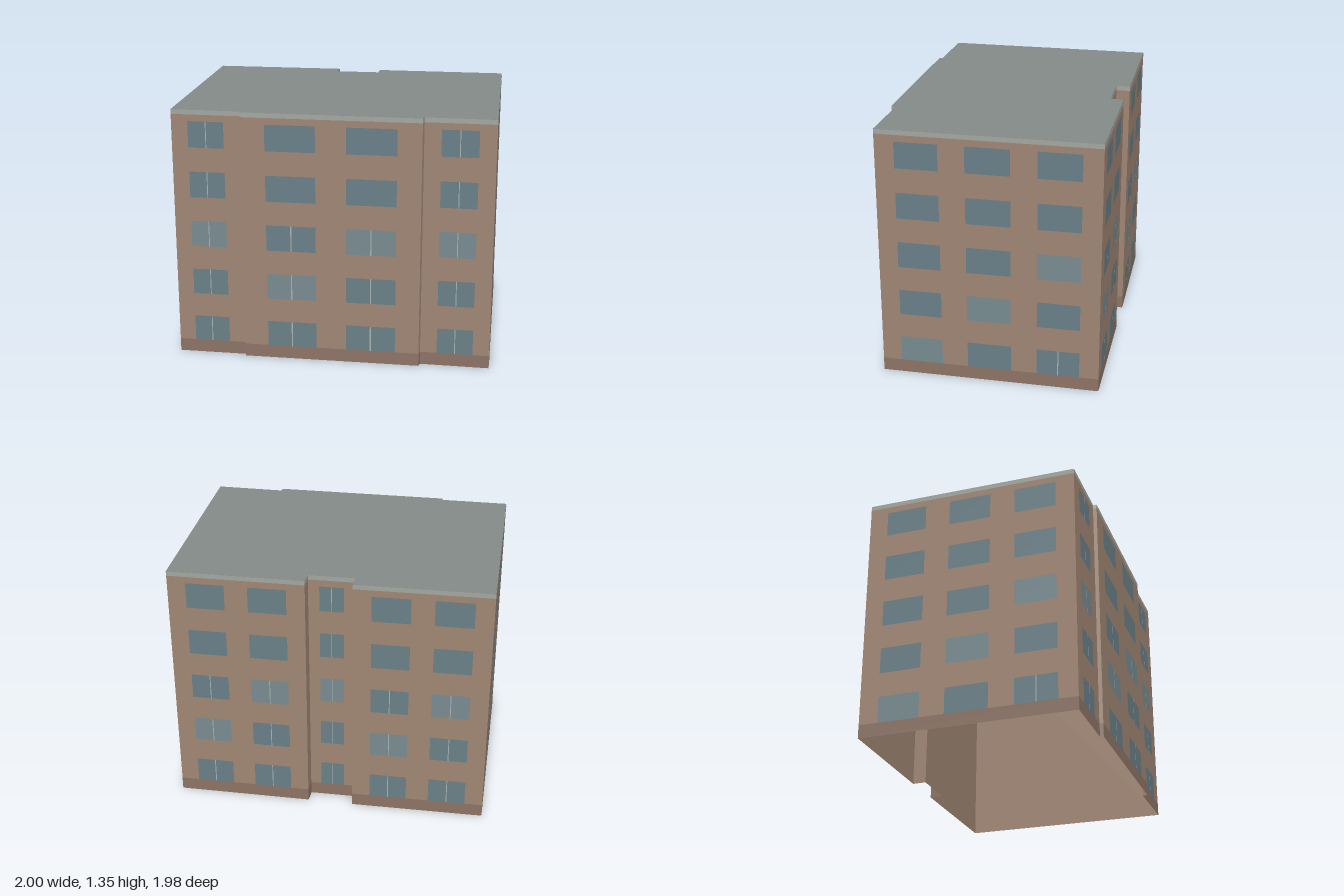
import * as THREE from 'three';
import { mergeGeometries } from 'three/addons/utils/BufferGeometryUtils.js';

// Footprint corners [x, z], clockwise seen from above
const PLAN = [
  [-0.215, -0.99], [0.305, -0.507], [0.253, -0.455], [0.43, -0.29], [0.48, -0.338], [1, 0.153],
  [0.215, 0.99], [-0.047, 0.735], [-0.07, 0.75], [-0.748, 0.107], [-0.738, 0.09], [-1, -0.16],
];
const HEIGHT = 1.35, BASE_TOP = 0.07, TRIM_BOTTOM = 1.325;
const STOREY = 0.27, WINDOW_HEIGHT = 0.14, STOREYS = 5;

// Window spans along a wall, as fractions of its length
const ONE = [[0.24, 0.76]];
const TWO = [[0.135, 0.415], [0.585, 0.865]];
const THREE_WIDE = [[0.088, 0.282], [0.4, 0.6], [0.718, 0.912]];
const WALL_WINDOWS = { 0: TWO, 2: ONE, 4: TWO, 5: THREE_WIDE, 6: ONE, 8: TWO, 10: ONE, 11: THREE_WIDE };

// Upright panel on wall i between fractions t0..t1 and heights y0..y1
function panel(i, t0, t1, y0, y1, offset) {
  const [ax, az] = PLAN[i], [bx, bz] = PLAN[(i + 1) % PLAN.length];
  const dx = bx - ax, dz = bz - az, length = Math.hypot(dx, dz), t = (t0 + t1) / 2;
  const nx = dz / length, nz = -dx / length;
  const g = new THREE.PlaneGeometry(length * (t1 - t0), y1 - y0);
  g.rotateY(Math.atan2(nx, nz));
  return g.translate(ax + dx * t + nx * offset, (y0 + y1) / 2, az + dz * t + nz * offset);
}

// Ring of panels following the whole footprint
const band = (y0, y1, offset) => mergeGeometries(PLAN.map((_, i) => panel(i, 0, 1, y0, y1, offset)));

export function createModel() {
  const group = new THREE.Group();
  const add = (name, geometry, color, side = THREE.FrontSide) => {
    const mesh = new THREE.Mesh(geometry, new THREE.MeshStandardMaterial({ color, side }));
    mesh.name = name;
    group.add(mesh);
  };

  // Open-bottomed shell: plain walls and a flat roof
  add('walls', band(0, HEIGHT, 0), 0xa08674, THREE.DoubleSide);
  const outline = new THREE.Shape(PLAN.map(([x, z]) => new THREE.Vector2(x, -z)));
  const roof = new THREE.ShapeGeometry(outline).rotateX(-Math.PI / 2).translate(0, HEIGHT, 0);
  add('roof', roof, 0x838b88, THREE.DoubleSide);

  // Coloured strips on the outside of the walls
  add('plinth', band(0, BASE_TOP, 0.001), 0x8e7466);
  add('roofTrim', band(TRIM_BOTTOM, HEIGHT, 0.001), 0xa3a7a1);

  // Windows: a diagonal of paler panes, and mullions on the lower storeys
  const glass = [], paleGlass = [], mullions = [];
  for (const [key, spans] of Object.entries(WALL_WINDOWS)) {
    const wall = Number(key);
    for (let row = 0; row < STOREYS; row++) {
      const y0 = BASE_TOP + row * STOREY, y1 = y0 + WINDOW_HEIGHT;
      spans.forEach(([t0, t1], k) => {
        (row + k === 2 ? paleGlass : glass).push(panel(wall, t0, t1, y0, y1, 0.001));
        const split = spans === ONE || (spans === TWO && row < 3) || (spans === THREE_WIDE && row + k === 0);
        if (split) {
          const mid = (t0 + t1) / 2, half = (t1 - t0) * 0.012;
          mullions.push(panel(wall, mid - half, mid + half, y0, y1, 0.002));
        }
      });
    }
  }
  add('windows', mergeGeometries(glass), 0x6a8088);
  add('paleWindows', mergeGeometries(paleGlass), 0x788b90);
  add('windowMullions', mergeGeometries(mullions), 0xa9b3b3);

  return group;
}
